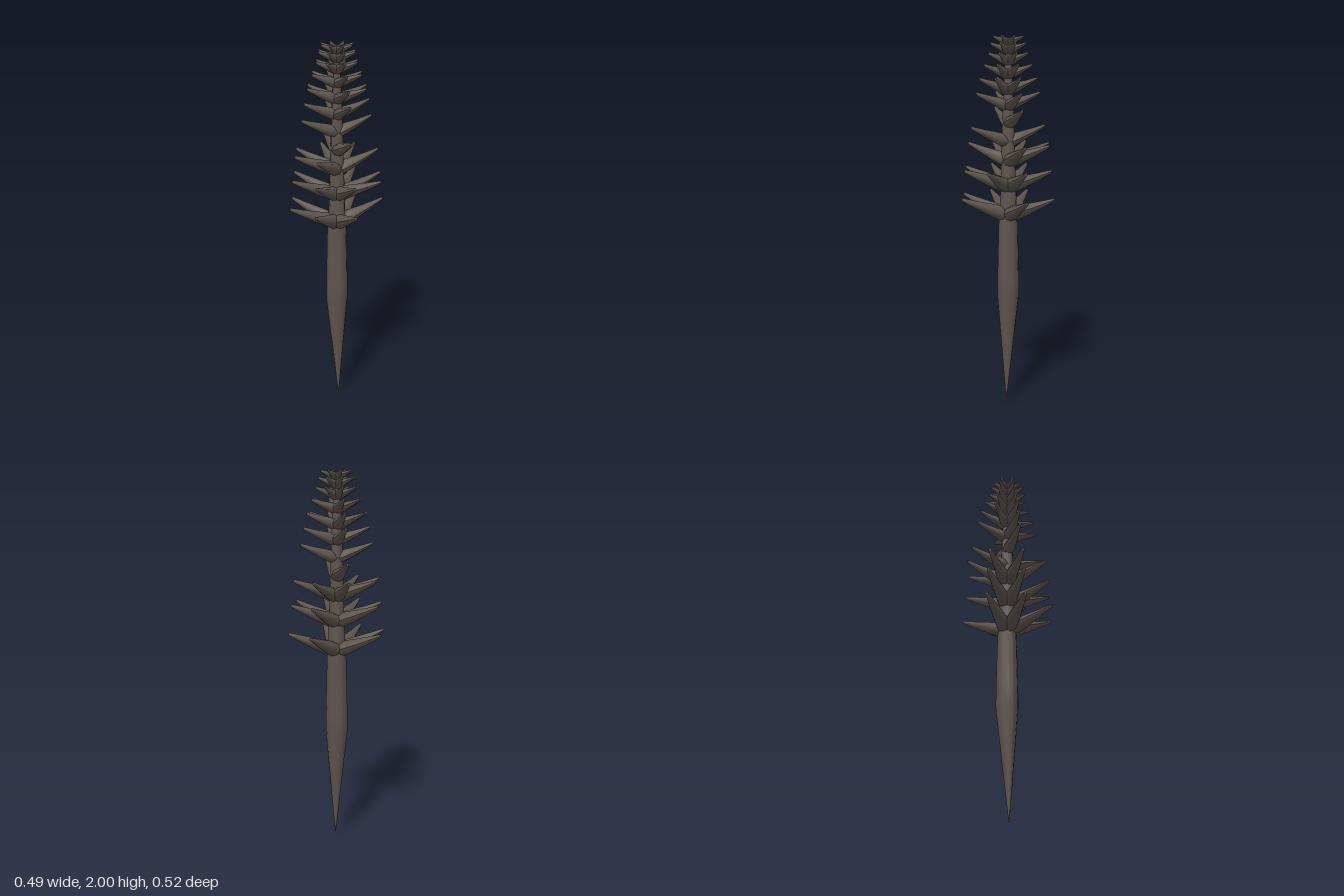
import * as THREE from 'three';

const AXIS_X = -0.013; // the stalk stands slightly off centre

// One upward-sweeping, blunt spike pointing along +x from the stalk axis
function spikeGeometry(reach, rise) {
  const base = 0.012 + reach * 0.11;
  const tip = 0.006 + reach * 0.012;
  const profile = [
    [0, 0], [base * 0.95, 0], [base, reach * 0.2], [base * 0.8, reach * 0.42],
    [base * 0.52, reach * 0.7], [tip, reach * 0.99], [tip * 0.7, reach], [0, reach],
  ].map(([r, d]) => new THREE.Vector2(r, d));
  const geo = new THREE.LatheGeometry(profile, 8);
  geo.rotateZ(-Math.PI / 2);
  // lift the axis along its length
  const p = geo.attributes.position;
  for (let i = 0; i < p.count; i++) {
    const t = p.getX(i) / reach;
    p.setY(i, p.getY(i) + rise * (0.85 * t + 0.15 * t * t));
  }
  geo.computeVertexNormals();
  return geo;
}

export function createModel() {
  const model = new THREE.Group();
  const bark = new THREE.MeshStandardMaterial({ color: 0x5c534d });
  bark.name = 'darkBark';

  // Pointed shaft and slim stalk in one turned body
  const stemProfile = [
    [0, 0], [0.004, 0.03], [0.03, 0.3], [0.059, 0.6], [0.059, 0.7], [0.052, 1.0],
    [0.045, 1.1], [0.036, 1.4], [0.03, 1.6], [0.022, 1.8], [0.012, 1.96], [0, 1.965],
  ].map(([r, y]) => new THREE.Vector2(r, y));
  const stemGeo = new THREE.LatheGeometry(stemProfile, 12);
  const p = stemGeo.attributes.position;
  for (let i = 0; i < p.count; i++) {
    p.setX(i, p.getX(i) + AXIS_X * Math.min(1, p.getY(i) / 0.6));
  }
  stemGeo.computeVertexNormals();
  const stem = new THREE.Mesh(stemGeo, bark);
  stem.name = 'stem';
  model.add(stem);

  // Whorls: tip height, reach, and which of the eight directions are filled
  const all = [0, 1, 2, 3, 4, 5, 6, 7];
  const cross = [0, 2, 4, 6];
  const whorls = [
    [1.15, 0.265, [0, 1, 2, 3, 5, 6]],
    [1.30, 0.25, [0, 1, 2, 3, 5, 6, 7]],
    [1.43, 0.235, [1, 2, 3, 4, 5, 6]],
    [1.525, 0.211, [0, 4]],
    [1.615, 0.195, [2, 6]],
    [1.70, 0.18, cross],
    [1.775, 0.163, [...cross, 3, 7]],
    [1.845, 0.136, [...cross, 3, 7]],
    [1.905, 0.113, all],
    [1.955, 0.1, all],
    [1.99, 0.085, all],
  ];
  whorls.forEach(([tipY, reach, slots], n) => {
    const whorl = new THREE.Group();
    whorl.name = 'whorl' + (n + 1);
    const rise = reach * 0.38;
    const geo = spikeGeometry(reach, rise);
    for (const k of slots) {
      const spike = new THREE.Mesh(geo, bark);
      spike.name = 'spike';
      spike.rotation.y = -THREE.MathUtils.degToRad(14 + 45 * k);
      whorl.add(spike);
    }
    whorl.position.set(AXIS_X, tipY - rise, 0);
    model.add(whorl);
  });
  return model;
}
